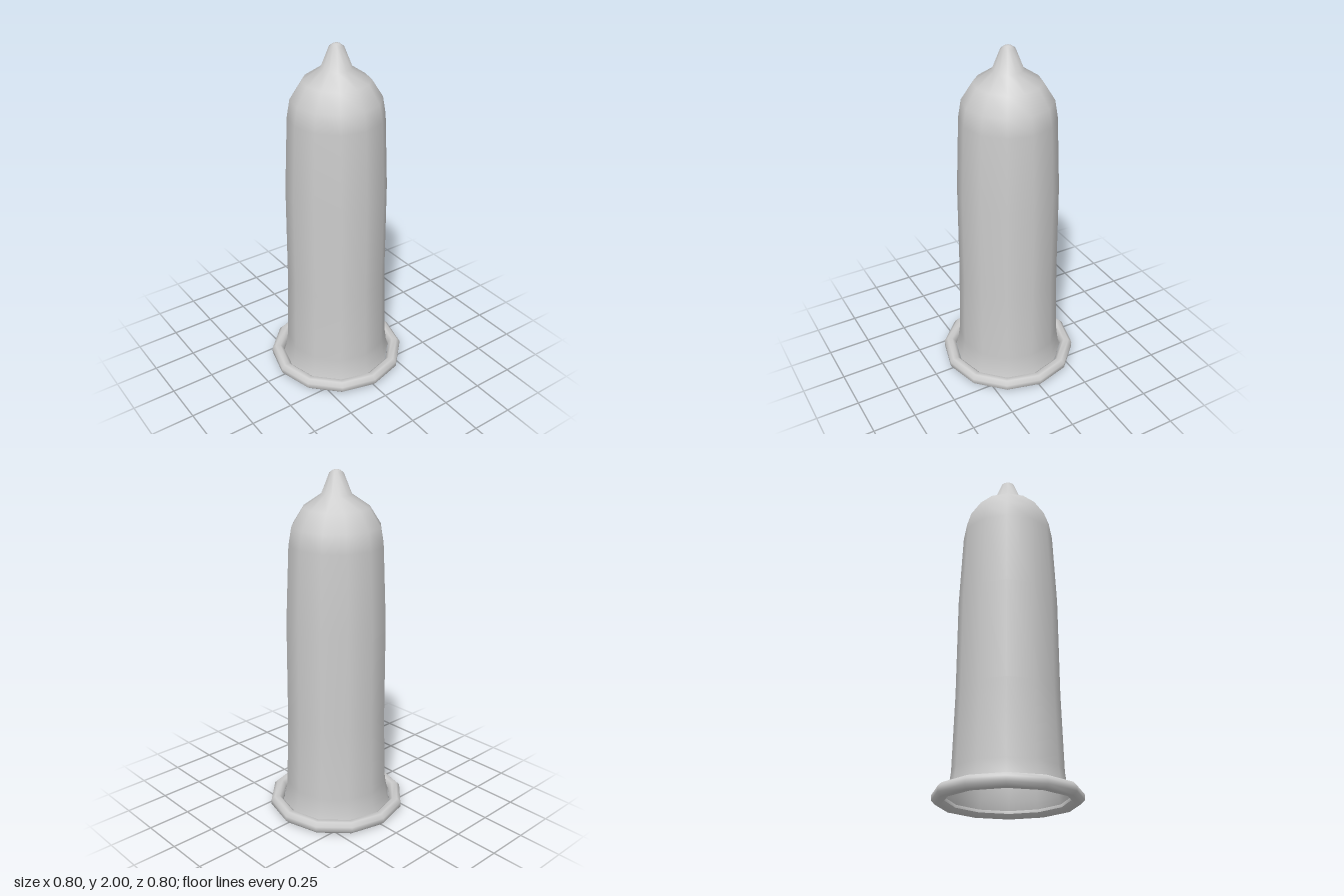
import * as THREE from 'three';

const SIDES = 12;

// Revolve a profile of [radius, height] pairs into a smooth 12-sided part
function lathePart(name, profile) {
  const points = profile.map(([r, y]) => new THREE.Vector2(r, y));
  const material = new THREE.MeshStandardMaterial({ color: 0xcccccc, side: THREE.DoubleSide });
  const mesh = new THREE.Mesh(new THREE.LatheGeometry(points, SIDES), material);
  mesh.name = name;
  return mesh;
}

export function createModel() {
  const group = new THREE.Group();
  group.name = 'sheath';

  // Thin open-bottomed tube with rounded shoulder and small tip
  group.add(lathePart('sheathBody', [
    [0.325, 0.035], [0.312, 0.08], [0.3, 0.17], [0.288, 0.6], [0.285, 1.17],
    [0.265, 1.6], [0.248, 1.7], [0.185, 1.8], [0.085, 1.868],
    [0.04, 1.98], [0.02, 1.995], [0, 2],
  ]));

  // Rolled rim: octagonal section swept around the opening, seam on the inside
  const rim = [];
  for (let i = 0; i <= 8; i++) {
    const a = Math.PI + (i + 0.5) * Math.PI / 4;
    rim.push([0.365 + 0.038 * Math.cos(a), 0.035 + 0.038 * Math.sin(a) * 0.997]);
  }
  group.add(lathePart('rolledRim', rim));

  return group;
}
